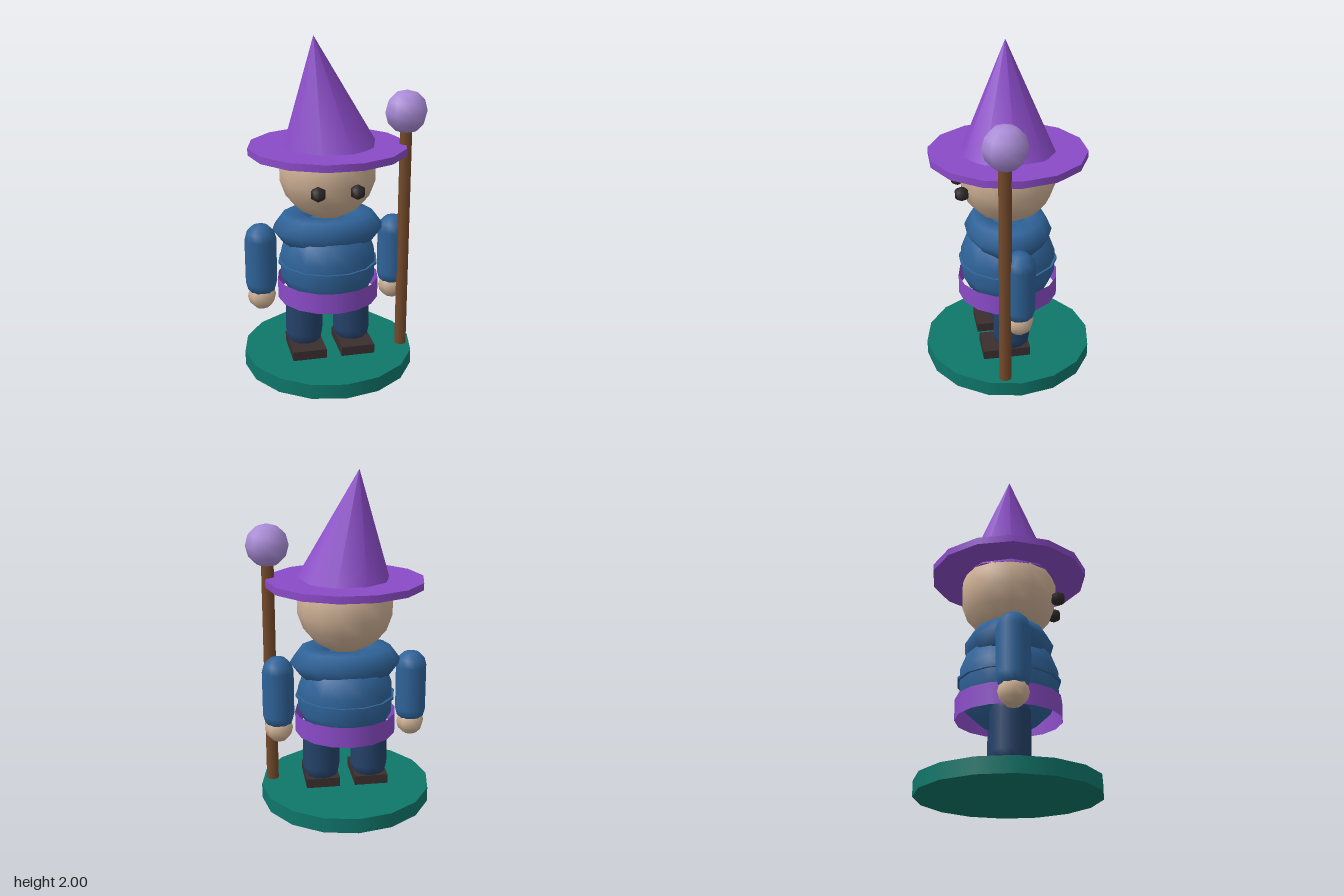
import * as THREE from 'three';

const mat = (name, color, side = THREE.FrontSide) => {
  const m = new THREE.MeshStandardMaterial({ color, side });
  m.name = name;
  return m;
};

export function createModel() {
  const model = new THREE.Group();
  const green = mat('base green', 0x0f766a);
  const purple = mat('hat purple', 0x8b4bc8, THREE.DoubleSide);
  const skin = mat('skin', 0xcfb196);
  const blue = mat('tunic blue', 0x2f6399);
  const navy = mat('trouser navy', 0x25426a);
  const dark = mat('shoe brown', 0x3a2e2e);
  const black = mat('eye black', 0x2c2626);
  const wood = mat('staff wood', 0x73492a);
  const lilac = mat('orb lilac', 0xa98bd6);

  const CX = -0.03; // the figure stands slightly off centre, balancing the staff
  const add = (name, geo, material, x, y, z) => {
    const mesh = new THREE.Mesh(geo, material);
    mesh.name = name;
    mesh.position.set(x, y, z);
    model.add(mesh);
    return mesh;
  };
  // cylinder with a corner on the x axis
  const drum = (rTop, rBottom, h, sides, open = false) =>
    new THREE.CylinderGeometry(rTop, rBottom, h, sides, 1, open).rotateY(Math.PI / 2);

  add('base', drum(0.52, 0.52, 0.09, 16), green, CX, 0.045, 0);

  // torso: rounded barrel with seam, belt and wide collar
  const profile = [[0, 0.355], [0.165, 0.42], [0.25, 0.5], [0.288, 0.58],
    [0.288, 0.72], [0.25, 0.82], [0.165, 0.9], [0, 0.95]];
  const torso = new THREE.LatheGeometry(profile.map(([r, y]) => new THREE.Vector2(r, y)), 14);
  add('torso', torso.rotateY(Math.PI / 2), blue, CX, 0, 0);
  add('seam', drum(0.302, 0.302, 0.016, 14), blue, CX, 0.662, 0);
  add('belt', drum(0.307, 0.307, 0.125, 16, true), purple, CX, 0.497, 0);
  const collar = new THREE.TorusGeometry(0.165, 0.097, 6, 14).rotateX(Math.PI / 2);
  add('collar', collar, blue, CX, 0.875, 0).scale.x = 1.28;

  // paired limbs and eyes
  for (const [side, s] of [['right', -1], ['left', 1]]) {
    add(side + 'Leg', new THREE.CapsuleGeometry(0.114, 0.23, 4, 12), navy, CX + s * 0.149, 0.32, 0);
    add(side + 'Shoe', new THREE.BoxGeometry(0.205, 0.058, 0.29), dark, CX + s * 0.149, 0.118, 0.045);
    add(side + 'Arm', new THREE.CapsuleGeometry(0.095, 0.27, 3, 12), blue, CX + s * 0.407, 0.685, 0);
    add(side + 'Hand', new THREE.SphereGeometry(0.086, 8, 6), skin, CX + s * 0.407, 0.46, 0);
    add(side + 'Eye', new THREE.SphereGeometry(0.046, 8, 3), black, CX + s * 0.113, 1.163, 0.285);
  }

  add('head', new THREE.SphereGeometry(0.29, 14, 9), skin, CX, 1.225, 0);

  // pointed hat, tipped toward the right hand
  add('hatBrim', drum(0.467, 0.467, 0.042, 14), purple, CX, 1.355, 0);
  const cone = new THREE.ConeGeometry(0.285, 0.652, 10).rotateY(Math.PI / 2).translate(0, 0.326, 0);
  add('hatCone', cone, purple, -0.026, 1.353, 0).rotation.z = 0.128;

  // staff with orb
  add('staff', drum(0.037, 0.037, 1.41, 8), wood, 0.417, 0.795, 0.088);
  add('staffOrb', new THREE.SphereGeometry(0.127, 8, 6), lilac, 0.417, 1.565, 0.086);

  return model;
}
